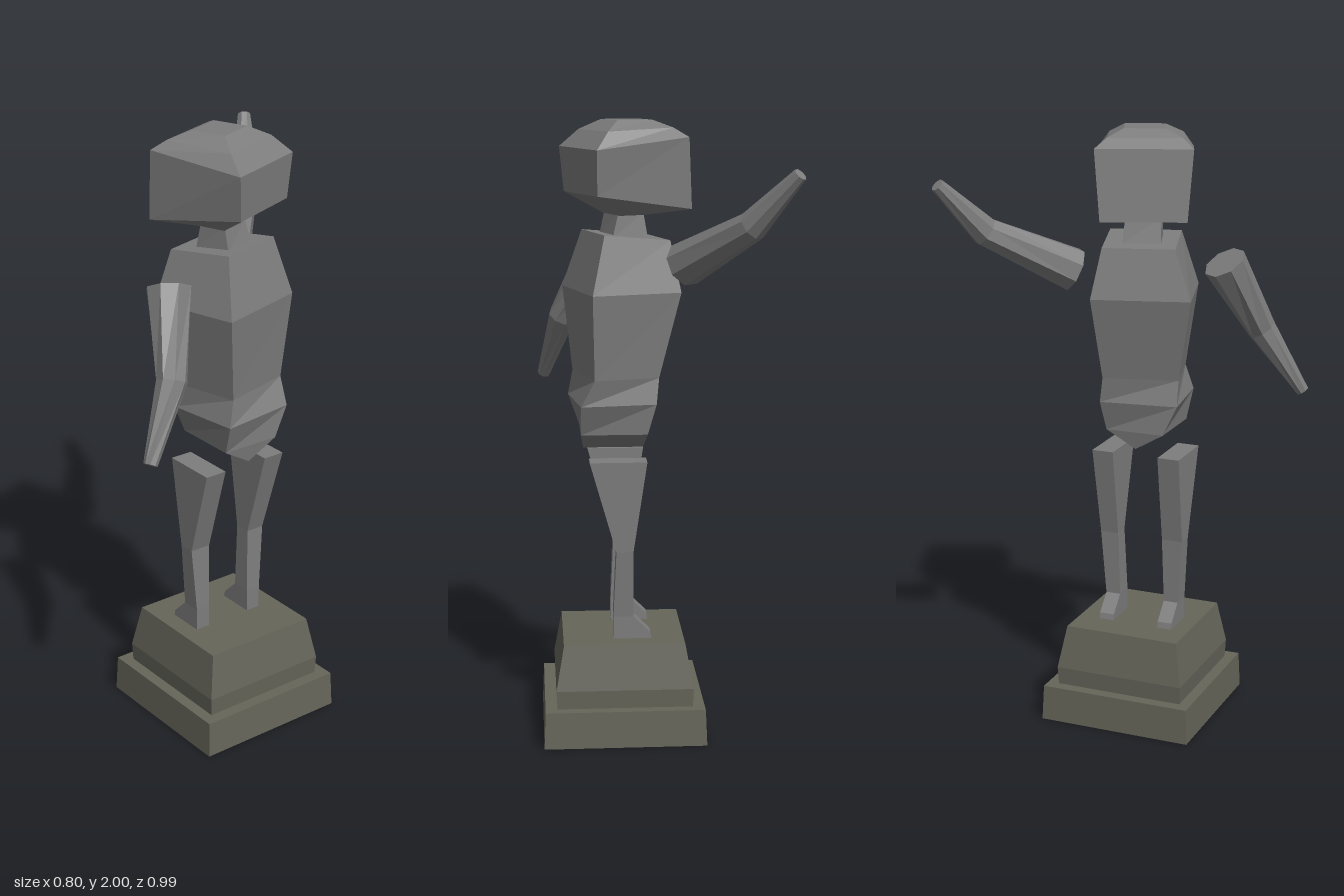
import * as THREE from 'three';

const stone = new THREE.MeshStandardMaterial({ color: 0x7d7d7d, flatShading: true });
stone.name = 'grey stone';
const plinthStone = new THREE.MeshStandardMaterial({ color: 0x65655a, flatShading: true });
plinthStone.name = 'olive plinth stone';

// Skin a stack of closed cross-sections and cap both ends, with hard facets
function loft(name, rings, material) {
  const pos = [];
  const tri = (a, b, c) => pos.push(...a, ...b, ...c);
  const n = rings[0].length;
  for (let k = 0; k < rings.length - 1; k++) {
    const lo = rings[k], hi = rings[k + 1];
    for (let i = 0; i < n; i++) {
      const j = (i + 1) % n;
      tri(lo[i], lo[j], hi[j]);
      tri(lo[i], hi[j], hi[i]);
    }
  }
  const first = rings[0], last = rings[rings.length - 1];
  for (let i = 1; i < n - 1; i++) {
    tri(first[0], first[i + 1], first[i]);
    tri(last[0], last[i], last[i + 1]);
  }
  const geometry = new THREE.BufferGeometry();
  geometry.setAttribute('position', new THREE.Float32BufferAttribute(pos, 3));
  geometry.computeVertexNormals();
  const mesh = new THREE.Mesh(geometry, material);
  mesh.name = name;
  return mesh;
}

// Four-cornered section: centre, half sizes, turn in degrees, tilt along its own depth
function block(y, cx, cz, hu, hv, turn = 0, tilt = 0) {
  const a = THREE.MathUtils.degToRad(turn), c = Math.cos(a), s = Math.sin(a);
  return [[-1, -1], [-1, 1], [1, 1], [1, -1]].map(([p, q]) => {
    const u = p * hu, v = q * hv;
    return [cx + u * c + v * s, y + tilt * u, cz - u * s + v * c];
  });
}

// Section given by its limits
const span = (y, x0, x1, z0, z1) =>
  block(y, (x0 + x1) / 2, (z0 + z1) / 2, (x1 - x0) / 2, (z1 - z0) / 2);

// Tapered eight-sided limb through a few joints
function limb(name, joints, radii) {
  const points = joints.map((p) => new THREE.Vector3(...p));
  const rings = points.map((p, k) => {
    const t = new THREE.Vector3();
    if (k > 0) t.add(p.clone().sub(points[k - 1]).normalize());
    if (k < points.length - 1) t.add(points[k + 1].clone().sub(p).normalize());
    t.normalize();
    const e1 = new THREE.Vector3(0, 1, 0).cross(t).normalize();
    const e2 = t.clone().cross(e1);
    return Array.from({ length: 8 }, (_, i) => {
      const a = ((i + 0.5) * Math.PI) / 4;
      return p.clone()
        .addScaledVector(e1, radii[k] * Math.cos(a))
        .addScaledVector(e2, radii[k] * Math.sin(a))
        .toArray();
    });
  });
  return loft(name, rings, stone);
}

export function createModel() {
  const statue = new THREE.Group();
  statue.name = 'statue';

  // Two-step plinth
  statue.add(loft('plinthFoot', [
    block(0, 0.132, 0, 0.264, 0.263),
    block(0.12, 0.132, 0, 0.259, 0.258),
  ], plinthStone));
  statue.add(loft('plinthBlock', [
    block(0.12, 0.132, 0, 0.22, 0.22),
    block(0.18, 0.132, 0, 0.223, 0.223),
    block(0.325, 0.132, 0, 0.197, 0.197),
  ], plinthStone));

  // Legs with toes pointing to -x; each has its own spread at top, knee and foot
  const legs = [
    ['frontLeg', [0.08, 0.155], [0.08, 0.152], [0.088, 0.138]],
    ['rearLeg', [-0.154, -0.08], [-0.143, -0.08], [-0.124, -0.073]],
  ];
  for (const [name, top, knee, foot] of legs) {
    statue.add(loft(name, [
      span(0.325, 0.04, 0.165, ...foot),
      span(0.345, 0.045, 0.165, ...foot),
      span(0.4, 0.1, 0.165, ...foot),
      span(0.62, 0.1, 0.155, ...knee),
      span(0.92, 0.055, 0.24, ...top),
    ], stone));
  }

  // Torso: wedge-shaped crotch, hips, then a turned waist and chest
  statue.add(loft('torso', [
    block(0.94, 0.158, 0, 0.098, 0),
    block(1.0, 0.158, 0, 0.108, 0.1),
    block(1.1, 0.162, 0, 0.123, 0.13, 8),
    block(1.185, 0.15, -0.005, 0.108, 0.125, 15),
    block(1.46, 0.13, 0.005, 0.148, 0.162, 16),
    block(1.635, 0.115, 0, 0.11, 0.118, 16, 0.1),
  ], stone));

  // Neck
  statue.add(loft('neck', [
    block(1.63, 0.122, 0, 0.06, 0.062, 18),
    block(1.71, 0.12, 0.003, 0.043, 0.058, 20),
  ], stone));

  // Head: turned, with a deeper face at the front and a stepped crown
  statue.add(loft('head', [
    block(1.7, 0.12, 0.005, 0.043, 0.058, 21),
    block(1.745, 0.108, 0.011, 0.163, 0.138, 21, 0.15),
    block(1.93, 0.12, 0.007, 0.158, 0.156, 21, -0.11),
    block(1.972, 0.113, 0.012, 0.112, 0.12, 21, -0.04),
    block(2.0, 0.11, 0.01, 0.06, 0.065, 21),
  ], stone));

  // Raised arm and lowered arm, both free of the shoulders
  statue.add(limb('raisedArm',
    [[-0.06, 1.555, -0.165], [-0.25, 1.695, -0.38], [-0.38, 1.855, -0.475]], [0.072, 0.048, 0.022]));
  statue.add(limb('loweredArm',
    [[0.185, 1.565, 0.258], [0.315, 1.325, 0.345], [0.378, 1.11, 0.472]], [0.072, 0.048, 0.022]));

  return statue;
}
